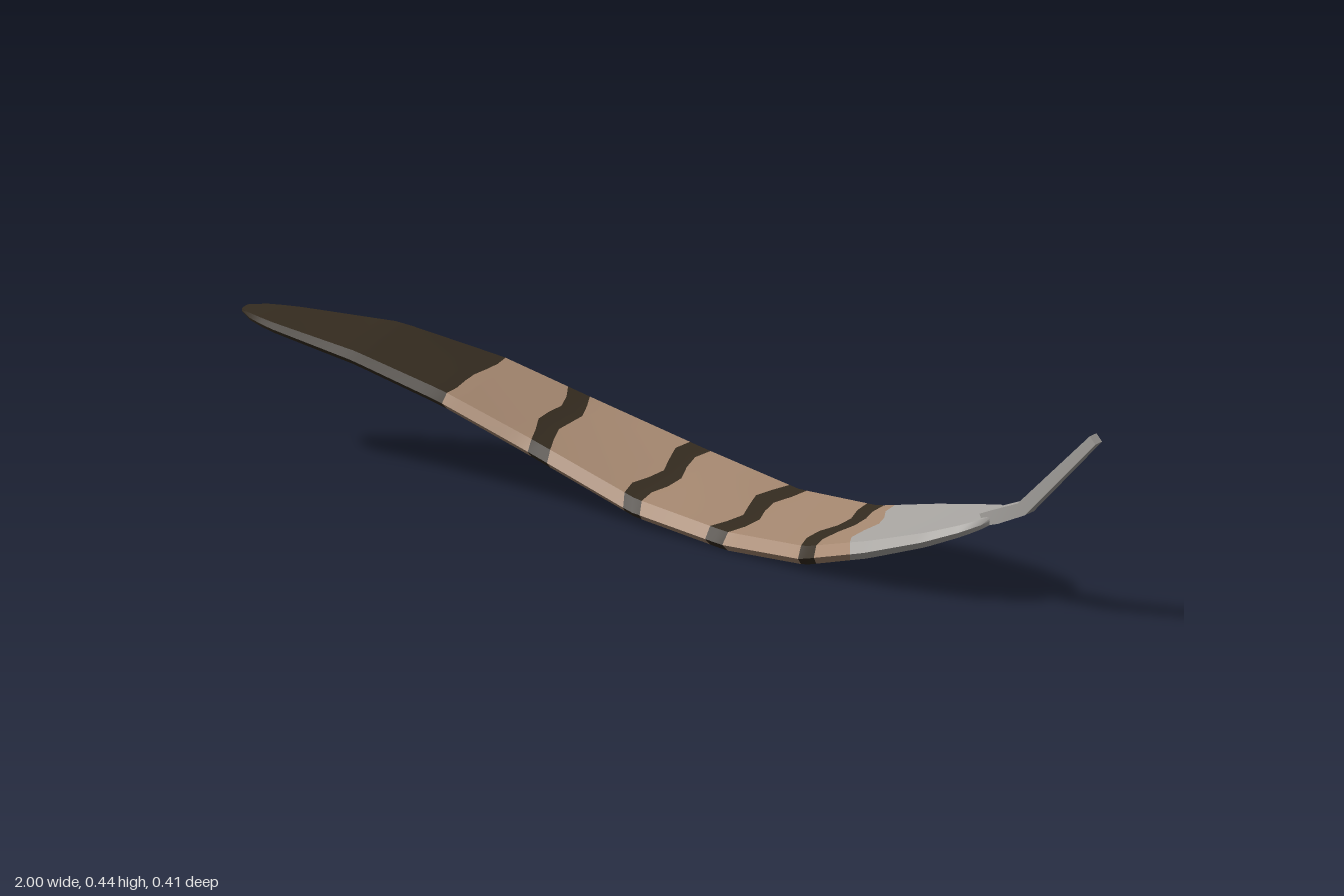
import * as THREE from 'three';
import { toCreasedNormals } from 'three/addons/utils/BufferGeometryUtils.js';

// Blade stations: x, front z, back z, front y, back y, half thickness
const STATIONS = [
  [-1.0, 0.185, 0.165, 0.318, 0.32, 0.004],
  [-0.98, 0.197, 0.14, 0.313, 0.317, 0.007],
  [-0.93, 0.2, 0.105, 0.302, 0.31, 0.01],
  [-0.75, 0.167, 0.0, 0.262, 0.283, 0.014],
  [-0.57, 0.13, -0.1, 0.205, 0.218, 0.016],
  [-0.4, 0.085, -0.165, 0.13, 0.148, 0.018],
  [-0.16, 0.06, -0.203, 0.043, 0.084, 0.019],
  [0.06, 0.065, -0.208, 0.023, 0.045, 0.019],
  [0.26, 0.08, -0.192, 0.039, 0.057, 0.019],
  [0.42, 0.092, -0.165, 0.088, 0.102, 0.018],
  [0.56, 0.092, -0.118, 0.138, 0.145, 0.015],
  [0.64, 0.072, -0.07, 0.17, 0.176, 0.012],
  [0.675, 0.045, -0.03, 0.186, 0.19, 0.01],
  [0.69, 0.03, 0.005, 0.195, 0.196, 0.008],
];

// Ring around the blade: fraction from front to back edge, thickness factor
const TOP = [0.06, 0.2, 0.35, 0.5, 0.65, 0.8, 0.94];
const RING = [[0, -0.1], ...TOP.map((t) => [t, 1]), [1, -0.1], ...[...TOP].reverse().map((t) => [t, -1])];

function bladePoint(x, [t, s]) {
  let i = 0;
  while (i < STATIONS.length - 2 && x > STATIONS[i + 1][0]) i++;
  const a = STATIONS[i], b = STATIONS[i + 1];
  const k = THREE.MathUtils.clamp((x - a[0]) / (b[0] - a[0]), 0, 1);
  const [, zf, zb, yf, yb, h] = a.map((v, n) => THREE.MathUtils.lerp(v, b[n], k));
  return [x, THREE.MathUtils.lerp(yf, yb, t) + s * h, THREE.MathUtils.lerp(zf, zb, t)];
}

// Colour borders: x, slant from back to front, wave height, wave phase
const STRIPES = [[-0.4, 0.05, 0.008, 1], [-0.165, 0.015, 0.011, 3], [0.05, 0.01, 0.013, 4.5], [0.265, 0, 0.012, 2]];
const BORDERS = [[-1, 0, 0, 0], [-0.565, 0.005, 0.003, 0]];
const BANDS = [1, 0];            // material of each band: 0 tan, 1 dark, 2 grey
for (const [x, slant, wave, phase] of STRIPES) {
  BORDERS.push([x - 0.021, slant, wave, phase], [x + 0.021, slant, wave, phase + 0.3]);
  BANDS.push(1, 0);
}
BORDERS.push([0.345, 0.065, 0.015, 2.5], [0.69, 0, 0, 0]);
BANDS.push(2);

const borderX = ([x, slant, wave, phase], t) => x + slant * (0.5 - t) + wave * Math.sin(t * 10 + phase);

function bladeGeometry() {
  const positions = [], faces = [[], [], []], n = RING.length;
  let column = 0;
  const addColumn = (a, b, k) => {
    for (const p of RING) positions.push(...bladePoint(THREE.MathUtils.lerp(borderX(a, p[0]), borderX(b, p[0]), k), p));
    return column++;
  };
  addColumn(BORDERS[0], BORDERS[0], 0);
  BANDS.forEach((material, i) => {
    const steps = i === 0 || material === 2 ? 16 : material === 1 ? 2 : 6;
    for (let s = 1; s <= steps; s++) {
      const c = addColumn(BORDERS[i], BORDERS[i + 1], s / steps);
      for (let j = 0; j < n; j++) {
        // The two stripes nearest the tip fade out across the underside
        const plain = (i === 2 || i === 4) && j >= 9 && j <= 13;
        const j2 = (j + 1) % n, a = (c - 1) * n + j, b = c * n + j, d = (c - 1) * n + j2, e = c * n + j2;
        faces[plain ? 0 : material].push(a, b, e, a, e, d);
      }
    }
  });
  // End caps
  const last = (column - 1) * n;
  for (let j = 1; j < n - 1; j++) {
    faces[1].push(0, j, j + 1);
    faces[2].push(last, last + j + 1, last + j);
  }
  const g = new THREE.BufferGeometry();
  g.setAttribute('position', new THREE.Float32BufferAttribute(positions, 3));
  g.setIndex(faces.flat());
  let start = 0;
  faces.forEach((f, m) => { g.addGroup(start, f.length, m); start += f.length; });
  return toCreasedNormals(g, 0.6);
}

// Square-sectioned quill: x, y, z, half width
const QUILL = [[0.66, 0.187, 0.018, 0.014], [0.7, 0.204, 0.025, 0.016], [0.775, 0.24, 0.045, 0.015], [0.99, 0.443, 0.109, 0.011]];

function quillGeometry() {
  const positions = [], index = [];
  QUILL.forEach(([x, y, z, w], i) => {
    const p = QUILL[Math.max(i - 1, 0)], q = QUILL[Math.min(i + 1, QUILL.length - 1)];
    const angle = Math.atan2(q[1] - p[1], q[0] - p[0]);
    for (const [u, v] of [[-1, 1], [1, 1], [1, -1], [-1, -1]]) {
      positions.push(x - Math.sin(angle) * u * w * 0.9, y + Math.cos(angle) * u * w * 0.9, z + v * w);
    }
    if (i) for (let j = 0; j < 4; j++) {
      const a = (i - 1) * 4 + j, d = (i - 1) * 4 + (j + 1) % 4;
      index.push(a, a + 4, d + 4, a, d + 4, d);
    }
  });
  const e = (QUILL.length - 1) * 4;
  index.push(0, 1, 2, 0, 2, 3, e, e + 2, e + 1, e, e + 3, e + 2);
  const g = new THREE.BufferGeometry();
  g.setAttribute('position', new THREE.Float32BufferAttribute(positions, 3));
  g.setIndex(index);
  return toCreasedNormals(g, 0.5);
}

export function createModel() {
  const material = (name, color) => Object.assign(new THREE.MeshStandardMaterial({ color }), { name });
  const tan = material('tan', 0xa88a72);
  const dark = material('dark brown', 0x352c20);
  const grey = material('downy grey', 0xaaa7a3);

  const model = new THREE.Group();
  model.name = 'feather';
  const blade = new THREE.Mesh(bladeGeometry(), [tan, dark, grey]);
  blade.name = 'stripedBlade';
  const quill = new THREE.Mesh(quillGeometry(), grey);
  quill.name = 'quill';
  model.add(blade, quill);
  return model;
}
